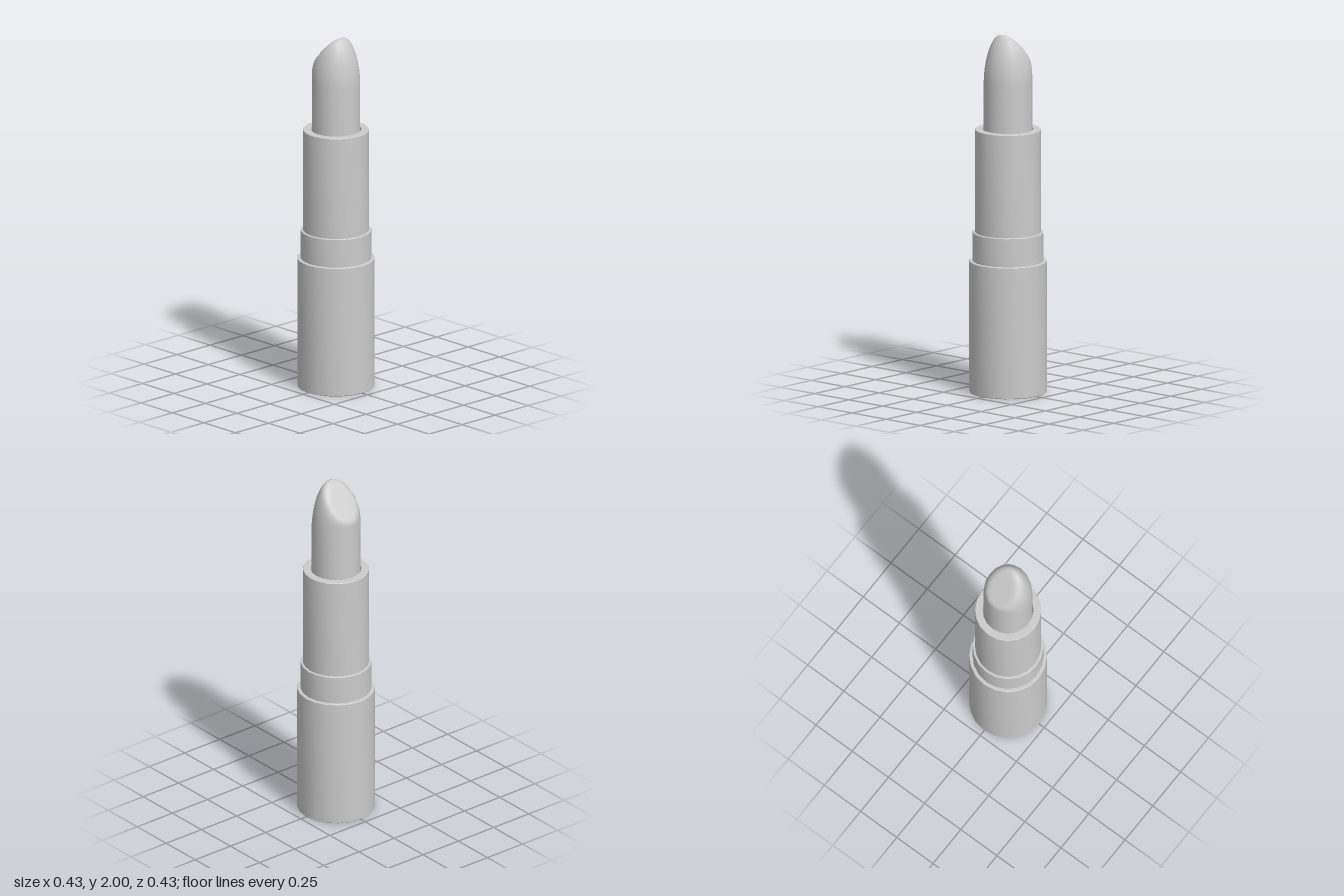
import * as THREE from 'three';
import { mergeVertices, toCreasedNormals } from 'three/addons/utils/BufferGeometryUtils.js';

const SIDES = 20;
const material = new THREE.MeshStandardMaterial({ color: 0xcccccc });

// Turned part from [radius, height] pairs, listed from the bottom outwards and up
function turned(name, profile) {
  const points = profile.map(([r, y]) => new THREE.Vector2(r, y));
  const mesh = new THREE.Mesh(toCreasedNormals(new THREE.LatheGeometry(points, SIDES), 0.6), material);
  mesh.name = name;
  return mesh;
}

// Slanted tip: a dome blended smoothly into an inclined cut
const R = 0.134;
function tipHeight(x, z) {
  const r = Math.min(Math.hypot(x, z) / R, 1);
  const shoulder = 1.72 + 0.07 * Math.max(0, -x / R);
  const dome = shoulder + (2.028 - shoulder) * Math.sqrt(1 - r * r);
  const cut = 1.97 + 1.25 * x;
  const k = 0.06;
  const h = Math.max(k - Math.abs(dome - cut), 0);
  return Math.min(dome, cut) - (h * h) / (4 * k);
}

function bullet() {
  const bottom = 1.3, rings = 16;
  const points = [new THREE.Vector2(R, bottom), new THREE.Vector2(R, 1.6)];
  for (let i = 0; i <= rings; i++) {
    points.push(new THREE.Vector2(R * Math.cos((i / rings) * Math.PI / 2), 1.7));
  }
  let geometry = new THREE.LatheGeometry(points, SIDES);
  const p = geometry.attributes.position;
  for (let i = 0; i < p.count; i++) {
    if (p.getY(i) > 1.65) p.setY(i, tipHeight(p.getX(i), p.getZ(i)));
  }
  geometry.deleteAttribute('uv');
  geometry.deleteAttribute('normal');
  geometry = mergeVertices(geometry, 1e-5);
  geometry.computeVertexNormals();
  const mesh = new THREE.Mesh(geometry, material);
  mesh.name = 'lipstickBullet';
  return mesh;
}

export function createModel() {
  const group = new THREE.Group();
  group.name = 'lipstick';
  const b = 0.003; // small edge bevel
  group.add(
    turned('base', [[0, 0], [0.214 - b, 0], [0.214, b], [0.214, 0.735 - b], [0.214 - b, 0.735], [0.18, 0.735]]),
    turned('collar', [[0.195, 0.72], [0.195, 0.895 - b], [0.195 - b, 0.895], [0.17, 0.895]]),
    // Sleeve with an open top and a floor inside
    turned('sleeve', [[0.182, 0.88], [0.182, 1.47 - b], [0.182 - b, 1.47], [0.14, 1.47], [0.14, 1.3], [0, 1.3]]),
    bullet()
  );
  return group;
}
